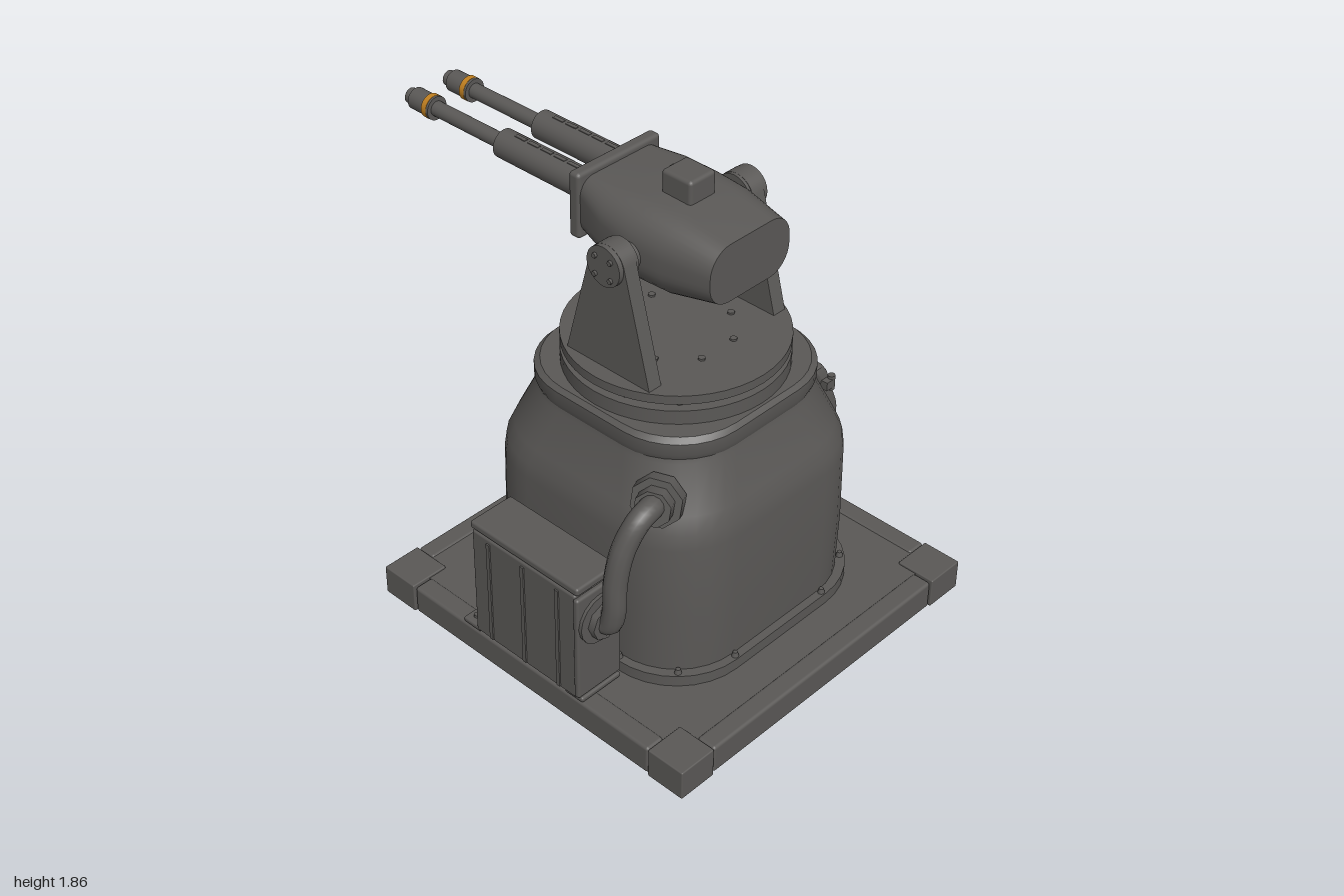
import * as THREE from 'three';
import { toCreasedNormals } from 'three/addons/utils/BufferGeometryUtils.js';
import { RoundedBoxGeometry } from 'three/addons/geometries/RoundedBoxGeometry.js';

const CZ = 0.24; // centre line of base, tower and turntable
const CX = 0.004; // the power box overhangs, so the rest sits slightly off centre

const steel = new THREE.MeshStandardMaterial({ name: 'dark steel', color: 0x5a5856 });
const brass = new THREE.MeshStandardMaterial({ name: 'orange band', color: 0xc07f20 });

function add(parent, name, geo, x = 0, y = 0, z = 0, mat = steel) {
  const m = new THREE.Mesh(geo, mat);
  m.name = name;
  m.position.set(x, y, z);
  parent.add(m);
  return m;
}
const box = (w, h, d) => new THREE.BoxGeometry(w, h, d);
const rbox = (w, h, d, r) => new RoundedBoxGeometry(w, h, d, 2, r);
const cyl = (r1, r2, h, n = 24) => new THREE.CylinderGeometry(r1, r2, h, n);
const cylX = (r, h, n = 24) => cyl(r, r, h, n).rotateZ(Math.PI / 2);
const cylZ = (r, h, n = 24) => cyl(r, r, h, n).rotateX(Math.PI / 2);

// Counter-clockwise outline of a rounded rectangle
function outline(hw, hh, r, seg = 8) {
  const pts = [];
  [[1, 1], [-1, 1], [-1, -1], [1, -1]].forEach(([sx, sy], q) => {
    for (let i = 0; i <= seg; i++) {
      const a = (q + i / seg) * Math.PI / 2;
      pts.push([sx * (hw - r) + Math.cos(a) * r, sy * (hh - r) + Math.sin(a) * r]);
    }
  });
  return pts;
}

// Closed loft along +z through sections {s, hw, hh, r, x, y}
function loft(sections, crease = 0.5) {
  const rings = sections.map(({ s, hw, hh, r, x = 0, y = 0 }) =>
    outline(hw, hh, r).map(([a, b]) => [a + x, b + y, s]));
  const n = rings[0].length, pos = [], idx = [];
  rings.forEach(ring => ring.forEach(p => pos.push(...p)));
  for (let k = 0; k < rings.length - 1; k++) for (let i = 0; i < n; i++) {
    const a = k * n + i, b = k * n + (i + 1) % n;
    idx.push(a, b, b + n, a, b + n, a + n);
  }
  const last = (rings.length - 1) * n;
  for (let i = 1; i < n - 1; i++) idx.push(0, i + 1, i, last, last + i, last + i + 1);
  const g = new THREE.BufferGeometry();
  g.setAttribute('position', new THREE.Float32BufferAttribute(pos, 3));
  g.setIndex(idx);
  return toCreasedNormals(g, crease);
}
const loftY = (sections, crease) => loft(sections, crease).rotateX(-Math.PI / 2);

function buildBase(g) {
  // Thin deck on a frame of beams, hollow underneath
  add(g, 'baseDeck', box(1.36, 0.014, 1.36), 0, 0.106, CZ);
  for (const sx of [-1, 1]) for (const sz of [-1, 1])
    add(g, 'baseCorner', rbox(0.16, 0.122, 0.16, 0.005), sx * 0.679, 0.061, CZ + sz * 0.679);
  for (const s of [-1, 1]) {
    add(g, 'baseBeam', rbox(1.19, 0.116, 0.08, 0.012), 0, 0.06, CZ + s * 0.715);
    add(g, 'baseBeam', rbox(0.08, 0.116, 1.19, 0.012), s * 0.715, 0.06, CZ);
  }
}

function buildTower(g) {
  const sq = (s, h, r) => ({ s, hw: h, hh: h, r });
  add(g, 'towerFlange', loftY([sq(0.105, 0.542, 0.3), sq(0.158, 0.542, 0.3)]), 0, 0, CZ);
  add(g, 'towerBody', loftY([
    sq(0.15, 0.51, 0.28), sq(0.4, 0.515, 0.28), sq(0.7, 0.512, 0.28), sq(0.76, 0.506, 0.28),
    sq(0.82, 0.486, 0.28), sq(0.98, 0.425, 0.27), sq(1.01, 0.42, 0.27)]), 0, 0, CZ);
  add(g, 'towerRim', loftY([
    sq(0.995, 0.42, 0.27), sq(1.025, 0.43, 0.27), sq(1.07, 0.43, 0.27), sq(1.087, 0.415, 0.27)]), 0, 0, CZ);
  for (const [x, z] of outline(0.525, 0.525, 0.29, 2))
    add(g, 'flangeBolt', cyl(0.009, 0.015, 0.024, 8), x, 0.165, CZ + z);
}

function buildTurntable(g) {
  add(g, 'lowerRing', cyl(0.405, 0.405, 0.055, 48), 0, 1.115, CZ);
  add(g, 'turntableNeck', cyl(0.3, 0.3, 0.04, 48), 0, 1.157, CZ);
  add(g, 'turntable', cyl(0.405, 0.405, 0.035, 48), 0, 1.187, CZ);
  for (let i = 0; i < 12; i++) {
    const a = (i + 0.5) * Math.PI / 6;
    add(g, 'ringBolt', cyl(0.014, 0.014, 0.014, 6), 0.36 * Math.cos(a), 1.148, CZ + 0.36 * Math.sin(a));
  }
  for (let i = 0; i < 8; i++) {
    const a = (i + 0.5) * Math.PI / 4;
    add(g, 'turntableBolt', cyl(0.014, 0.014, 0.01, 6), 0.21 * Math.cos(a), 1.207, CZ + 0.21 * Math.sin(a));
  }
}

function buildYoke(g) {
  const c = 0.245, y = 1.62, r = 0.08;
  const shape = new THREE.Shape();
  shape.moveTo(-c - 0.195, 1.2);
  shape.lineTo(-c + 0.195, 1.2);
  shape.absarc(-c, y, r, 0.28, Math.PI - 0.28, false);
  shape.closePath();
  const armGeo = new THREE.ExtrudeGeometry(shape, { depth: 0.058, bevelEnabled: false, curveSegments: 16 });
  armGeo.translate(0, 0, -0.029).rotateY(Math.PI / 2);
  for (const s of [-1, 1]) {
    add(g, 'yokeArm', armGeo, s * 0.314, 0, 0);
    add(g, 'pivotCap', cylX(0.076, 0.09), s * 0.317, y + 0.004, c);
    add(g, 'axle', cylX(0.05, 0.12), s * 0.24, 1.615, c);
    for (let i = 0; i < 4; i++) {
      const a = (i + 0.5) * Math.PI / 2;
      add(g, 'pivotBolt', cylX(0.01, 0.016, 6), s * 0.364, y + 0.05 * Math.sin(a), c + 0.05 * Math.cos(a));
    }
  }
}

function buildGun(g) {
  const sec = (s, hw, lo, hi, r) => ({ s, hw, hh: (hi - lo) / 2, y: (hi + lo) / 2, r });
  add(g, 'gunHousing', loft([
    sec(-0.04, 0.188, 1.54, 1.76, 0.06), sec(0.1, 0.23, 1.5, 1.768, 0.1),
    sec(0.24, 0.24, 1.473, 1.772, 0.125), sec(0.38, 0.232, 1.473, 1.768, 0.125),
    sec(0.565, 0.195, 1.51, 1.734, 0.095)]));
  add(g, 'gunFlange', rbox(0.4, 0.255, 0.05, 0.015), 0, 1.655, -0.055);
  add(g, 'sensorBox', rbox(0.125, 0.1, 0.135, 0.014), 0, 1.805, 0.285);
  add(g, 'sensorLens', cylZ(0.03, 0.012), 0, 1.812, 0.214);
  for (const s of [-1, 1]) {
    const b = new THREE.Group();
    b.name = 'barrel';
    b.position.set(s * 0.092, 1.671, 0);
    g.add(b);
    add(b, 'barrelJacket', cylZ(0.055, 0.435), 0, 0, -0.29);
    add(b, 'barrelTube', cylZ(0.029, 0.42), 0, 0, -0.7);
    add(b, 'barrelCollar', cylZ(0.046, 0.012), 0, 0, -0.866);
    add(b, 'barrelBand', cylZ(0.047, 0.024), 0, 0, -0.882, brass);
    add(b, 'muzzle', cylZ(0.042, 0.08), 0, 0, -0.93);
    add(b, 'muzzleTip', cylZ(0.03, 0.035), 0, 0, -0.9825);
    for (let i = 0; i < 5; i++) add(b, 'jacketVent', box(0.016, 0.006, 0.05), 0, 0.054, -0.16 - i * 0.065);
  }
}

function buildDoor(g) {
  // Hatch follows the bend of the tower side
  const sec = (s, out, w, t = 0.06) => ({ s, x: out - t / 2, hw: t / 2, hh: w, r: 0.018 });
  add(g, 'hatch', loftY([
    sec(0.245, 0.53, 0.275), sec(0.26, 0.54, 0.3), sec(0.285, 0.541, 0.31), sec(0.74, 0.538, 0.31),
    sec(0.77, 0.531, 0.31), sec(0.93, 0.468, 0.31), sec(0.955, 0.455, 0.3), sec(0.97, 0.44, 0.275)], 0.6), 0, 0, CZ + 0.003);
  add(g, 'handlePlate', rbox(0.03, 0.09, 0.03, 0.006), 0.545, 0.6, -0.015);
  add(g, 'handleGrip', box(0.012, 0.055, 0.014), 0.558, 0.6, -0.015);
  for (const [x, y] of [[0.46, 0.89], [0.52, 0.315]]) {
    add(g, 'hatchHinge', cyl(0.014, 0.014, 0.06, 10), x + 0.008, y, 0.567);
    add(g, 'hingeLeaf', box(0.04, 0.035, 0.04), x - 0.01, y, 0.56);
  }
}

function buildPowerBox(g) {
  const x = -0.655;
  add(g, 'powerBox', rbox(0.2, 0.47, 0.51, 0.01), x, 0.365, 0.24);
  add(g, 'powerBoxLid', rbox(0.196, 0.032, 0.53, 0.01), x, 0.616, 0.24);
  add(g, 'powerBoxFace', rbox(0.21, 0.45, 0.025, 0.01), x, 0.365, 0.5);
  for (const z of [0.07, 0.24, 0.41]) add(g, 'powerBoxRib', box(0.012, 0.44, 0.016), x - 0.1, 0.36, z);
  for (const z of [-0.045, 0.475]) {
    add(g, 'powerBoxFoot', rbox(0.19, 0.022, 0.09, 0.008), x, 0.13, z);
    for (const s of [-1, 1]) add(g, 'footBolt', cyl(0.012, 0.012, 0.014, 6), x + s * 0.06, 0.146, z - 0.01);
  }
  // Hose from the box up to the tower shoulder
  add(g, 'lowerFitting', cylZ(0.1, 0.02, 16), x, 0.46, 0.515);
  add(g, 'lowerNut', cylZ(0.068, 0.035, 8), x, 0.455, 0.535);
  const curve = new THREE.CatmullRomCurve3([
    [-0.655, 0.45, 0.52], [-0.655, 0.46, 0.56], [-0.655, 0.53, 0.582], [-0.65, 0.66, 0.585],
    [-0.622, 0.79, 0.595], [-0.565, 0.885, 0.61], [-0.5, 0.902, 0.605], [-0.42, 0.87, 0.565],
  ].map(p => new THREE.Vector3(...p)));
  add(g, 'hose', new THREE.TubeGeometry(curve, 40, 0.043, 12));
  const dir = new THREE.Vector3(-0.87, 0.2, 0.45).normalize();
  const up = new THREE.Vector3(0, 1, 0);
  for (const [r, h, d] of [[0.095, 0.05, 0], [0.068, 0.06, 0.045]]) {
    const p = new THREE.Vector3(-0.432, 0.875, 0.572).addScaledVector(dir, d);
    add(g, 'upperFitting', cyl(r, r, h, 8), p.x, p.y, p.z).quaternion.setFromUnitVectors(up, dir);
  }
}

export function createModel() {
  const model = new THREE.Group();
  model.name = 'turret';
  const parts = { base: buildBase, tower: buildTower, turntable: buildTurntable, yoke: buildYoke,
    gun: buildGun, door: buildDoor, powerSupply: buildPowerBox };
  for (const [name, build] of Object.entries(parts)) {
    const g = new THREE.Group();
    g.name = name;
    g.position.x = build === buildPowerBox ? 0 : CX;
    build(g);
    model.add(g);
  }
  return model;
}
